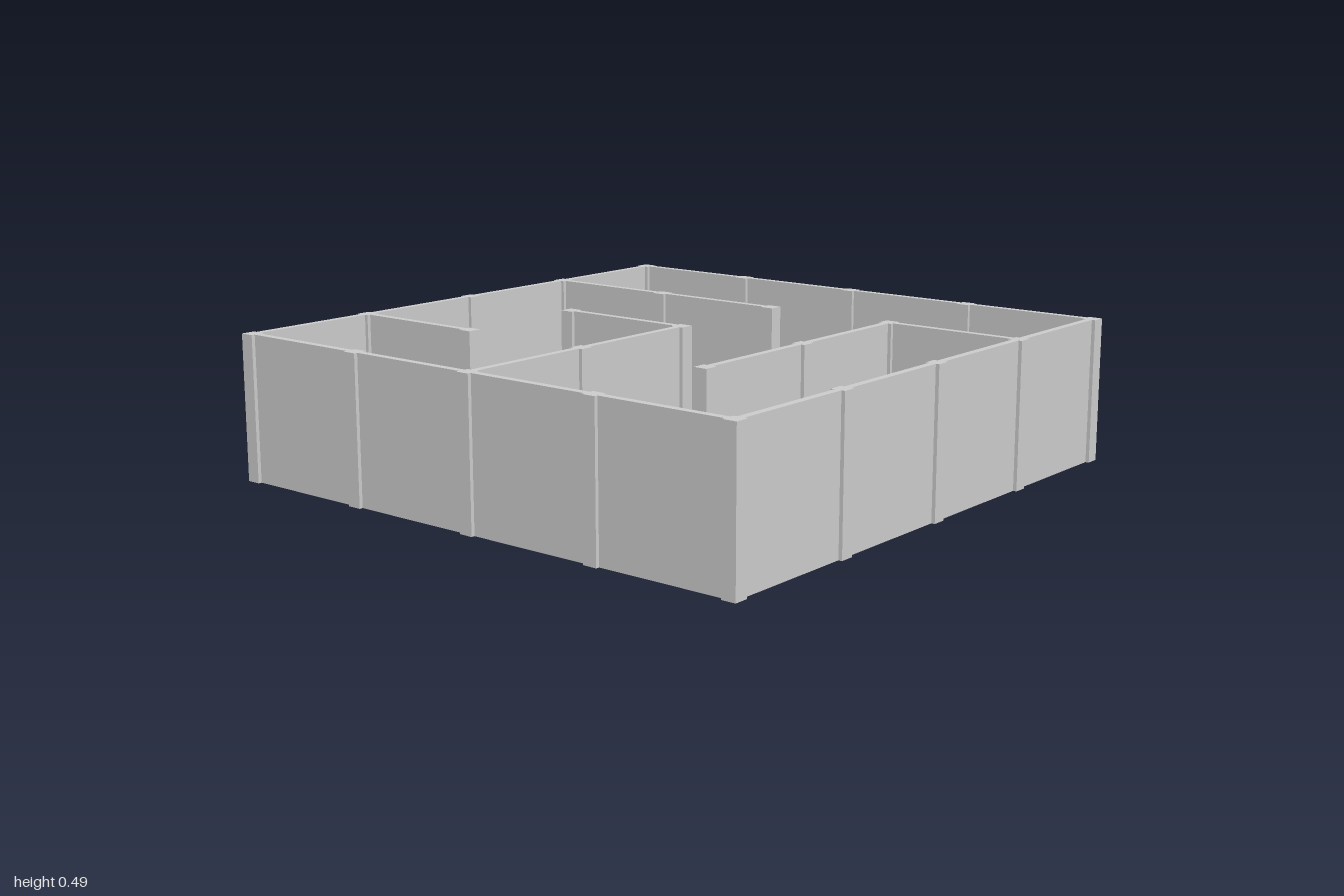
import * as THREE from 'three';

const POST = 2 / 41;          // post width
const PITCH = POST * 10;      // spacing between post centres
const HEIGHT = PITCH;
const THICK = POST / 2;       // wall thickness

export function createModel() {
  const maze = new THREE.Group();
  maze.name = 'maze';
  const material = new THREE.MeshStandardMaterial({ color: 0xcccccc });
  const postGeometry = new THREE.BoxGeometry(POST, HEIGHT, POST);
  const panelGeometry = new THREE.BoxGeometry(PITCH - POST, HEIGHT, THICK);

  function add(geometry, name, col, row, turn = 0) {
    const mesh = new THREE.Mesh(geometry, material);
    mesh.name = name;
    mesh.position.set(col * PITCH, HEIGHT / 2, row * PITCH);
    mesh.rotation.y = turn;
    maze.add(mesh);
  }

  // Straight run of wall panels between two grid points
  function wall(name, c0, r0, c1, r1) {
    const steps = Math.max(Math.abs(c1 - c0), Math.abs(r1 - r0));
    const turn = r0 === r1 ? 0 : Math.PI / 2;
    for (let i = 0; i < steps; i++) {
      const t = (i + 0.5) / steps;
      add(panelGeometry, name, c0 + (c1 - c0) * t, r0 + (r1 - r0) * t, turn);
    }
  }

  // Posts at every grid point
  for (let col = -2; col <= 2; col++) {
    for (let row = -2; row <= 2; row++) add(postGeometry, 'post', col, row);
  }

  // Outer walls
  wall('backWall', -2, -2, 2, -2);
  wall('frontWall', -2, 2, 2, 2);
  wall('rightWall', -2, -2, -2, 2);
  wall('leftWall', 2, -2, 2, 2);

  // Inner walls
  wall('innerWall', -2, -1, 0, -1);
  wall('innerWall', 1, -1, 2, -1);
  wall('innerWall', 1, -1, 1, 1);
  wall('innerWall', -1, 0, 0, 0);
  wall('innerWall', 0, 0, 0, 2);
  wall('innerWall', -2, 1, -1, 1);

  return maze;
}
